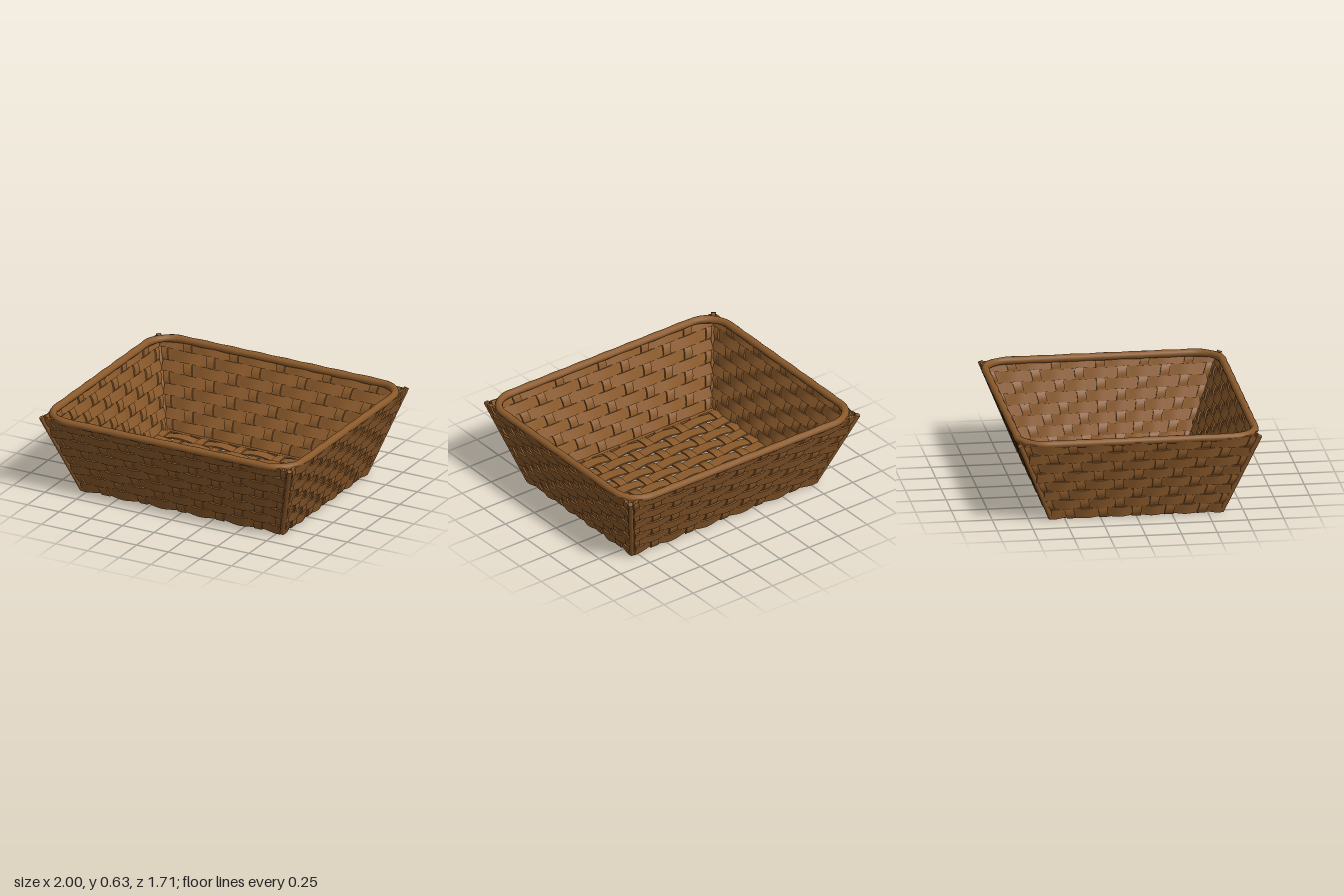
import * as THREE from 'three';
import { toCreasedNormals } from 'three/addons/utils/BufferGeometryUtils.js';

const V = (x, y, z) => new THREE.Vector3(x, y, z);
const STAKE_STEP = 0.19;              // stake spacing as a fraction of the half width
const ROWS = 8, ROW0 = 0.053, PITCH = 0.074;

// Flat reed: frame(t) gives centre p, half-width vector a and half-thickness vector n
function reed(frame, segments) {
  const pos = [], index = [];
  for (let i = 0; i <= segments; i++) {
    const { p, a, n } = frame(i / segments);
    for (const [s, t] of [[1, 1], [-1, 1], [-1, -1], [1, -1]]) {
      const c = p.clone().addScaledVector(a, s).addScaledVector(n, t);
      pos.push(c.x, c.y, c.z);
    }
  }
  for (let i = 0; i < segments; i++) {
    for (let j = 0; j < 4; j++) {
      const b = i * 4 + j, c = i * 4 + (j + 1) % 4;
      index.push(b, c, b + 4, c, c + 4, b + 4);
    }
  }
  const e = segments * 4;
  index.push(0, 2, 1, 0, 3, 2, e, e + 1, e + 2, e, e + 2, e + 3);
  // Wind the faces outward whichever way the frame is handed
  const f = frame(0), dir = frame(1).p.sub(f.p);
  if (f.a.clone().cross(f.n).dot(dir) < 0) {
    for (let i = 0; i < index.length; i += 3) [index[i], index[i + 1]] = [index[i + 1], index[i]];
  }
  const g = new THREE.BufferGeometry();
  g.setAttribute('position', new THREE.Float32BufferAttribute(pos, 3));
  g.setIndex(index);
  return toCreasedNormals(g, 0.8);
}

export function createModel() {
  const basket = new THREE.Group();
  basket.name = 'wovenBasket';
  const wicker = new THREE.MeshStandardMaterial({ color: 0x8b5a2b });
  wicker.name = 'wicker brown';
  const add = (parent, geometry, name) => {
    const m = new THREE.Mesh(geometry, wicker);
    m.name = name;
    parent.add(m);
    return m;
  };

  // Half extents of the flaring sides at height y
  const halfX = y => 0.785 + 0.325 * y;
  const halfZ = y => 0.59 + 0.4 * y;

  // One sloping wall facing +z: horizontal bands woven through upright stakes
  function wall(name, halfU, halfD, angle) {
    const g = new THREE.Group();
    g.name = name;
    const up = V(0, 1, halfD(1) - halfD(0)).normalize();
    const out = V(0, -up.z, up.y);
    const at = (u, y, off) => V(u * halfU(y), y, halfD(y)).addScaledVector(out, off);
    for (let r = 0; r < ROWS; r++) {
      const y = ROW0 + r * PITCH;
      add(g, reed(t => {
        const u = (t * 2 - 1) * 0.975;
        const off = -0.011 * Math.cos(Math.PI * (u / STAKE_STEP + r));
        return {
          p: at(u, y, off),
          a: up.clone().multiplyScalar(PITCH / up.y * 0.5),
          n: out.clone().multiplyScalar(0.006),
        };
      }, 48), 'wallBand');
    }
    for (let k = -5; k <= 5; k++) {
      const w = Math.abs(k) === 5 ? 0.022 : 0.032;
      add(g, reed(t => {
        const y = 0.012 + t * 0.595;
        const off = 0.007 * Math.cos(Math.PI * (k + (y - ROW0) / PITCH));
        return { p: at(k * STAKE_STEP, y, off), a: V(w, 0, 0), n: out.clone().multiplyScalar(0.006) };
      }, 32), 'wallStake');
    }
    g.rotation.y = angle;
    basket.add(g);
  }
  wall('frontWall', halfX, halfZ, 0);
  wall('backWall', halfX, halfZ, Math.PI);
  wall('leftWall', halfZ, halfX, Math.PI / 2);
  wall('rightWall', halfZ, halfX, -Math.PI / 2);

  // Woven floor with narrow gaps between the bands
  const floor = new THREE.Group();
  floor.name = 'floor';
  basket.add(floor);
  const stepX = 0.152, stepZ = 0.101;
  for (let i = -5; i <= 5; i++) {
    add(floor, reed(t => {
      const x = (t * 2 - 1) * 0.775;
      const y = 0.023 - 0.008 * Math.cos(Math.PI * (x / stepX + i));
      return { p: V(x, y, i * stepZ), a: V(0, 0, 0.041), n: V(0, 0.005, 0) };
    }, 48), 'floorBand');
    add(floor, reed(t => {
      const z = (t * 2 - 1) * 0.575;
      const y = 0.023 + 0.007 * Math.cos(Math.PI * (i + z / stepZ));
      return { p: V(i * stepX, y, z), a: V(0.032, 0, 0), n: V(0, 0.005, 0) };
    }, 48), 'floorStake');
  }
  for (const s of [1, -1]) {
    add(floor, new THREE.BoxGeometry(1.57, 0.015, 0.025), 'floorEdge').position.set(0, 0.02, s * 0.575);
  }

  // Slanted corner posts
  for (const sx of [1, -1]) for (const sz of [1, -1]) {
    const path = new THREE.LineCurve3(V(sx * 0.79, 0.018, sz * 0.595), V(sx * 0.98, 0.61, sz * 0.836));
    const dir = path.v2.clone().sub(path.v1);
    const post = add(basket, new THREE.CylinderGeometry(0.018, 0.018, dir.length(), 10), 'cornerPost');
    post.position.copy(path.getPoint(0.5));
    post.quaternion.setFromUnitVectors(V(0, 1, 0), dir.normalize());
  }

  // Rounded rim, twisted like a wrapped cane
  const X = 0.971, Z = 0.828, R = 0.19, RIM_Y = 0.608;
  const outline = new THREE.Shape();
  outline.absarc(X - R, Z - R, R, 0, Math.PI / 2);
  outline.absarc(R - X, Z - R, R, Math.PI / 2, Math.PI);
  outline.absarc(R - X, R - Z, R, Math.PI, Math.PI * 1.5);
  outline.absarc(X - R, R - Z, R, Math.PI * 1.5, Math.PI * 2);
  outline.closePath();
  class RimCurve extends THREE.Curve {
    getPoint(t, target = V(0, 0, 0)) {
      const p = outline.getPointAt(t % 1);
      return target.set(p.x, RIM_Y, p.y);
    }
  }
  const rimCurve = new RimCurve();
  const N = 240, M = 12;
  const rim = new THREE.TubeGeometry(rimCurve, N, 0.027, M, true);
  const pos = rim.attributes.position, v = V(0, 0, 0);
  for (let i = 0; i <= N; i++) {
    const c = rimCurve.getPointAt((i % N) / N);
    for (let j = 0; j <= M; j++) {
      const id = i * (M + 1) + j;
      const lobe = Math.cos(2 * Math.PI * (2 * j / M - 32 * i / N));
      v.fromBufferAttribute(pos, id).sub(c).multiplyScalar(1 + 0.06 * lobe).add(c);
      pos.setXYZ(id, v.x, v.y, v.z);
    }
  }
  add(basket, rim, 'rim');
  return basket;
}
